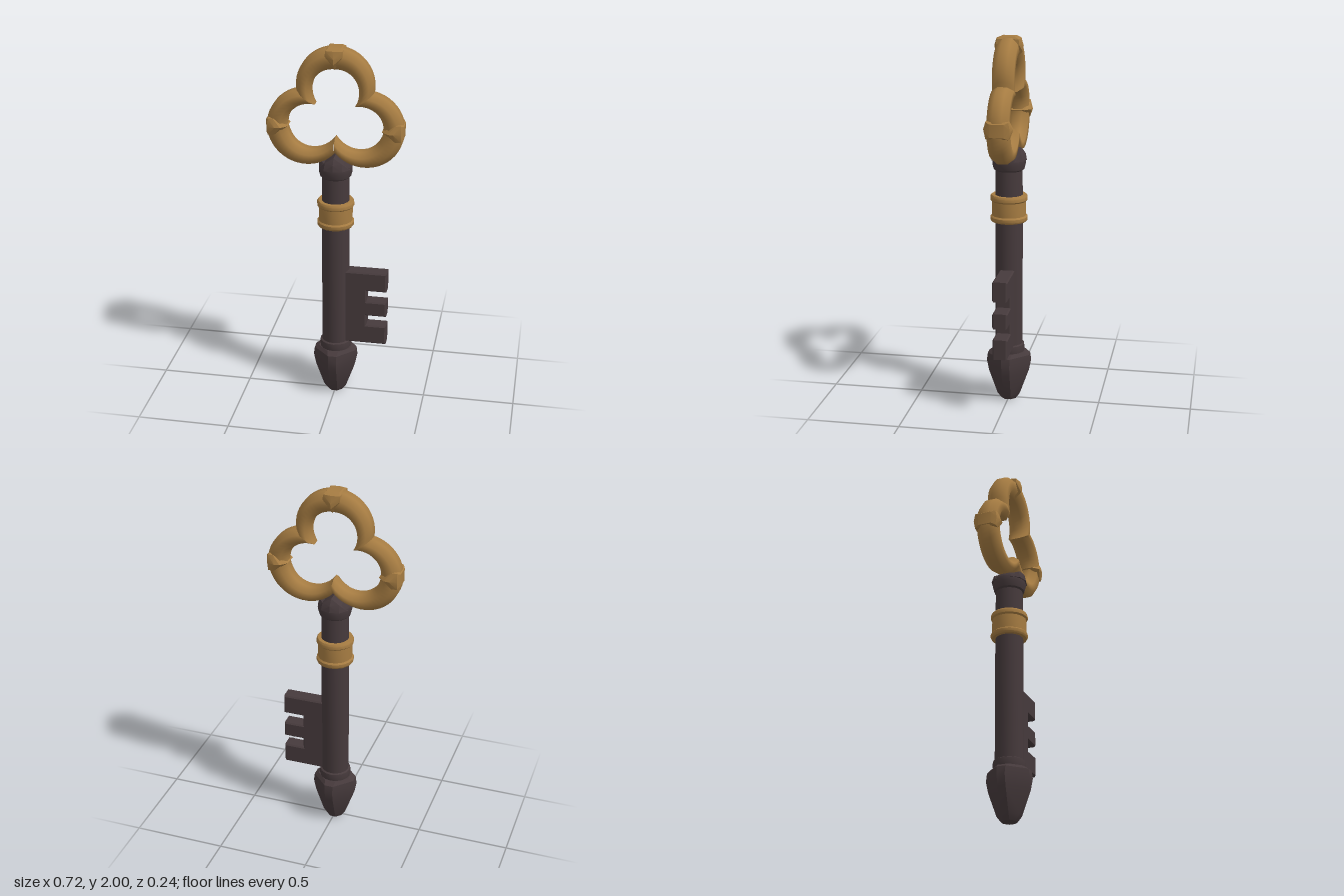
import * as THREE from 'three';
import { toCreasedNormals } from 'three/addons/utils/BufferGeometryUtils.js';
import { ConvexGeometry } from 'three/addons/geometries/ConvexGeometry.js';

const gold = new THREE.MeshStandardMaterial({ color: 0xa67c42 });
gold.name = 'aged gold';
const iron = new THREE.MeshStandardMaterial({ color: 0x463a3c });
iron.name = 'dark iron';

function add(parent, name, geometry, material) {
  const mesh = new THREE.Mesh(geometry, material);
  mesh.name = name;
  parent.add(mesh);
  return mesh;
}

// Turned part from [radius, height] pairs, bottom to top
function turned(profile, sides = 16) {
  const points = profile.map(([r, y]) => new THREE.Vector2(r, y));
  return toCreasedNormals(new THREE.LatheGeometry(points, sides), 0.6);
}

function hull(points) {
  return toCreasedNormals(new ConvexGeometry(points.map(p => new THREE.Vector3(...p))), 0.4);
}

// One lobe of the bow: an eight-sided bar between an outer arc and a widening inner arc.
// Angles in degrees, counter-clockwise; ends are mitred to meet the next lobe.
function lobe(cx, cy, outerR, outerArc, innerR, innerArc, innerEnds) {
  const steps = 28, sides = 8, depth = 0.057;
  const positions = [], index = [];
  const polar = (r, arc, t) => {
    const a = THREE.MathUtils.degToRad(THREE.MathUtils.lerp(arc[0], arc[1], t));
    return new THREE.Vector2(cx + r * Math.cos(a), cy + r * Math.sin(a));
  };
  for (let i = 0; i <= steps; i++) {
    const t = i / steps, s = 2 * t - 1;
    const end = s < 0 ? innerEnds[0] : innerEnds[1];
    const outer = polar(outerR, outerArc, t);
    const inner = polar(innerR + (end - innerR) * Math.abs(s) ** 1.5, innerArc, t);
    const mid = outer.clone().add(inner).multiplyScalar(0.5);
    const half = outer.clone().sub(inner).multiplyScalar(0.5);
    for (let j = 0; j < sides; j++) {
      const a = (j + 0.5) / sides * Math.PI * 2, k = 1 / Math.cos(Math.PI / sides);
      const u = k * Math.cos(a), w = k * Math.sin(a);
      positions.push(mid.x + half.x * u, mid.y + half.y * u, depth * w);
      if (i < steps) {
        const p = i * sides + j, q = i * sides + (j + 1) % sides;
        index.push(p, p + sides, q, q, p + sides, q + sides);
      }
    }
  }
  const g = new THREE.BufferGeometry();
  g.setAttribute('position', new THREE.Float32BufferAttribute(positions, 3));
  g.setIndex(index);
  g.computeVertexNormals();
  return g;
}

// Shield-shaped stud wrapped round the bow; local +y points outwards from the lobe centre
function studGeometry() {
  const points = [];
  for (const z of [-1, 1]) {
    for (const x of [-1, 1]) {
      points.push([x * 0.034, 0.205, z * 0.036], [x * 0.044, 0.193, z * 0.058], [x * 0.046, 0.165, z * 0.06]);
    }
    points.push([0, 0.194, z * 0.066], [0, 0.155, z * 0.077], [0, 0.125, z * 0.072], [0, 0.092, z * 0.04]);
  }
  return hull(points);
}

// Diamond-section tip with clipped corners, lofted through [radius, height, corner half-width]
function tipGeometry() {
  const levels = [[0.04, 0, 0.016], [0.062, 0.03, 0.02], [0.108, 0.16, 0.022],
    [0.12, 0.22, 0.022], [0.114, 0.262, 0.024], [0.088, 0.28, 0.03]];
  const points = [];
  for (const [r, y, c] of levels) {
    for (let k = 0; k < 4; k++) {
      for (const side of [-c, c]) {
        const a = k * Math.PI / 2;
        points.push([r * Math.cos(a) - side * Math.sin(a), y, r * Math.sin(a) + side * Math.cos(a)]);
      }
    }
  }
  return hull(points);
}

// Flat bit with three teeth and two notches
function bitGeometry() {
  const left = 0.05, notch = 0.182, right = 0.278;
  const shape = new THREE.Shape();
  shape.moveTo(left, 0.332);
  for (const [low, high] of [[0.332, 0.428], [0.502, 0.573], [0.652, 0.748]]) {
    if (low > 0.4) shape.lineTo(notch - 0.014, low);
    shape.lineTo(right, low);
    shape.lineTo(right, high);
    if (high < 0.7) shape.lineTo(notch - 0.014, high);
  }
  shape.lineTo(left, 0.748);
  const g = new THREE.ExtrudeGeometry(shape, {
    depth: 0.066, bevelEnabled: true, bevelSize: 0.007, bevelThickness: 0.007, bevelSegments: 1,
  });
  g.translate(0, 0, -0.033);
  return g;
}

export function createModel() {
  const key = new THREE.Group();
  key.name = 'key';

  // Trefoil bow
  const bow = new THREE.Group();
  bow.name = 'bow';
  key.add(bow);
  add(bow, 'topLobe', lobe(0, 1.795, 0.2025, [-9, 189], 0.09, [-45, 225], [0.148, 0.148]), gold);
  add(bow, 'rightLobe', lobe(-0.155, 1.565, 0.205, [102.5, 319], 0.095, [68, 342], [0.135, 0.163]), gold);
  add(bow, 'leftLobe', lobe(0.155, 1.565, 0.205, [-139, 77.5], 0.095, [-162, 112], [0.163, 0.135]), gold);

  // A stud at the outermost point of each lobe
  for (const [name, x, y, turn] of [['topStud', 0, 1.795, 0],
    ['rightStud', -0.155, 1.568, Math.PI / 2], ['leftStud', 0.155, 1.568, -Math.PI / 2]]) {
    const stud = add(bow, name, studGeometry(), gold);
    stud.position.set(x, y, 0);
    stud.rotation.z = turn;
  }

  // Shaft and the collar that grips the bow
  add(key, 'shaft', turned([[0.075, 0.26], [0.075, 1.0], [0.073, 1.36]]), iron);
  add(key, 'collar', turned([[0.07, 1.29], [0.082, 1.3], [0.09, 1.33], [0.09, 1.36], [0.076, 1.382], [0, 1.39]]), iron);
  const claws = [];
  for (const z of [-1, 1]) {
    for (const x of [-1, 1]) claws.push([x * 0.082, 1.35, z * 0.045], [x * 0.05, 1.35, z * 0.084], [x * 0.045, 1.39, z * 0.072]);
    claws.push([0, 1.35, z * 0.096], [0, 1.385, z * 0.09], [0, 1.416, z * 0.064]);
  }
  add(key, 'collarClaws', hull(claws), iron);

  // Gold band with a rim at each end
  add(key, 'band', turned([[0.07, 1.015], [0.094, 1.015], [0.1, 1.024], [0.1, 1.04], [0.092, 1.048],
    [0.092, 1.125], [0.1, 1.133], [0.1, 1.15], [0.094, 1.16], [0.07, 1.16]]), gold);

  // Bit, lower ring and tip
  add(key, 'bit', bitGeometry(), iron);
  add(key, 'lowerRing', turned([[0.07, 0.27], [0.084, 0.28], [0.086, 0.3], [0.084, 0.32], [0.07, 0.328]]), iron);
  add(key, 'tip', tipGeometry(), iron);

  return key;
}
